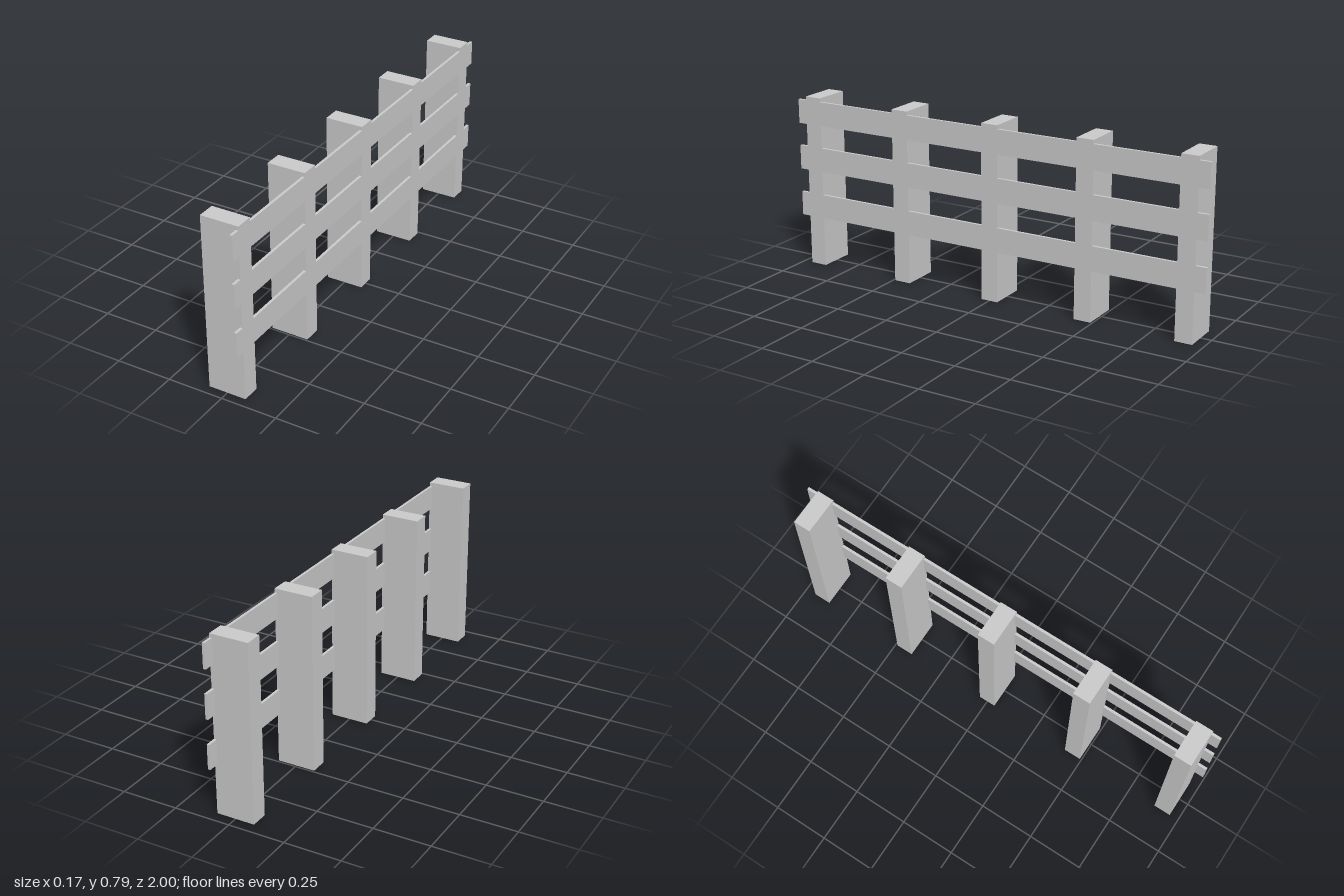
import * as THREE from 'three';

export function createModel() {
  const fence = new THREE.Group();
  fence.name = 'fence';
  const material = new THREE.MeshStandardMaterial({ color: 0xcccccc, flatShading: true });

  const addBox = (name, size, position) => {
    const mesh = new THREE.Mesh(new THREE.BoxGeometry(...size), material);
    mesh.name = name;
    mesh.position.set(...position);
    fence.add(mesh);
  };

  // Five upright posts, slightly unevenly spaced
  const postHeight = 0.785, postDepth = 0.17;
  [0.919, 0.453, -0.001, -0.452, -0.912].forEach((z, i) =>
    addBox(`post${i + 1}`, [postDepth, postHeight, 0.078], [0, postHeight / 2, z]));

  // Three long boards let in flush with the posts' left faces
  const railThickness = 0.012;
  [0.281, 0.5, 0.713].forEach((y, i) =>
    addBox(`rail${i + 1}`, [railThickness, 0.11, 2], [(postDepth - railThickness) / 2, y, 0]));

  return fence;
}
